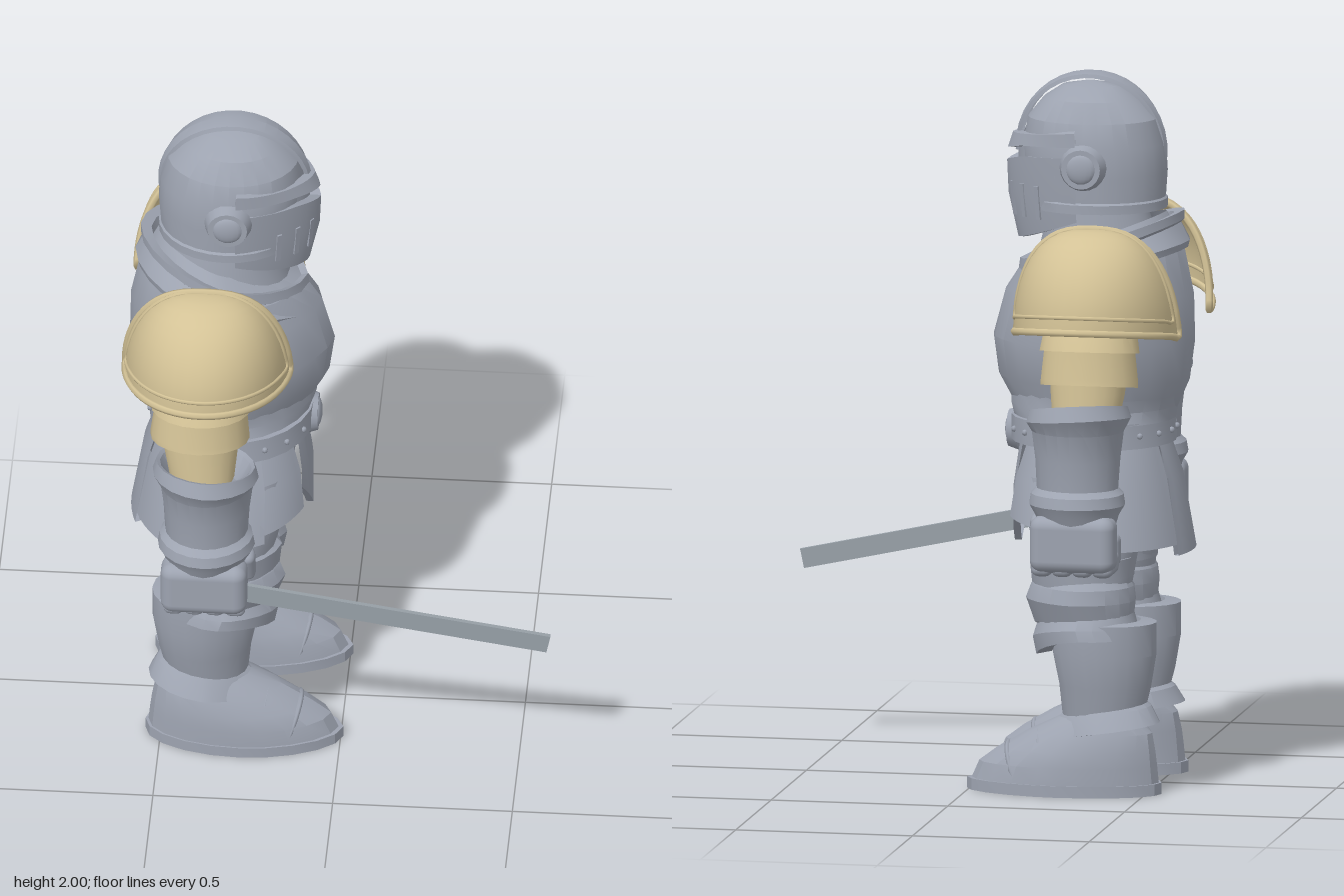
import * as THREE from 'three';
import { toCreasedNormals } from 'three/addons/utils/BufferGeometryUtils.js';
import { ParametricGeometry } from 'three/addons/geometries/ParametricGeometry.js';
import { RoundedBoxGeometry } from 'three/addons/geometries/RoundedBoxGeometry.js';

const paint = (name, color) => {
  const m = new THREE.MeshStandardMaterial({ color, side: THREE.DoubleSide });
  m.name = name;
  return m;
};

export function createModel() {
  const steel = paint('steel', 0x9da3b0), gold = paint('pale gold', 0xd3c296), bladeGrey = paint('blade grey', 0x99a2a9);

  // The figure is built facing +z, then turned to face +x
  const knight = new THREE.Group();
  knight.name = 'knight';
  knight.rotation.y = Math.PI / 2;

  const add = (name, geo, mat, pos = [0, 0, 0]) => {
    const m = new THREE.Mesh(geo, mat);
    m.name = name;
    m.position.set(...pos);
    knight.add(m);
    return m;
  };
  const surface = (name, mat, fn, nu, nv) =>
    add(name, toCreasedNormals(new ParametricGeometry(fn, nu, nv), 0.4), mat);

  // Skin over rings listed top to bottom: [y, halfWidth, zFront, zBack, tilt, centreX, dip, sideTilt]
  // q below 2 makes the front (qb: the back) pointed; t0..t1 limits the arc
  const loft = (name, mat, rings, { q = 2, qb = 2, seg = 24, t0 = 0, t1 = Math.PI * 2, k = 1, s = 1 } = {}) =>
    surface(name, mat, (u, v, out) => {
      const i = Math.min(rings.length - 1, Math.max(0, Math.round(v * (rings.length - 1))));
      const [y, rx, zf, zb, tilt = 0, cx = 0, dip = 0, sideTilt = 0] = rings[i];
      const t = t0 + (t1 - t0) * u, c = Math.cos(t), sn = Math.sin(t), e = sn >= 0 ? q : qb;
      const d = Math.sign(sn) * Math.pow(Math.max(0, 1 - Math.pow(Math.abs(c), e)), 1 / e);
      const drop = sn > 0 ? dip * Math.max(0, 1 - Math.abs(c) * k) : 0;
      out.set(cx * s + rx * c, y + tilt * d - drop + sideTilt * s * c, (zf + zb) / 2 + (zf - zb) / 2 * d);
    }, seg, rings.length - 1);

  // ---- Helmet
  loft('helmetDome', steel, [[1.972, 0, -.3, -.31], [1.958, .06, -.225, -.39], [1.925, .115, -.175, -.445],
    [1.87, .154, -.13, -.495], [1.8, .172, -.115, -.515], [1.72, .172, -.12, -.52], [1.65, .168, -.13, -.515],
    [1.645, .174, -.13, -.52], [1.62, .174, -.13, -.52], [1.62, .14, -.17, -.48]], { seg: 28 });
  surface('helmetCrest', steel, (u, v, out) => {
    const a = -.05 + v * 3.45, i = Math.round(u * 4), w = .012 + .03 * Math.max(0, Math.sin(a)), f = [.92, .97, 1, .97, .92][i];
    out.set([-1, -.9, 0, .9, 1][i] * w, 1.78 + .22 * f * Math.sin(a), -.307 + .215 * f * Math.cos(a));
  }, 4, 20);
  const arc = { q: 1.5, t0: .15, t1: Math.PI - .15, k: 2 };
  loft('visorBrow', steel, [[1.855, .165, -.11, -.5, -.03], [1.85, .178, -.085, -.53, -.03],
    [1.81, .18, -.07, -.55, -.02, 0, .015], [1.81, .165, -.1, -.52, -.02, 0, .015]], arc);
  loft('eyeSlitBacking', steel, [[1.83, .168, -.1, -.52, -.02], [1.74, .168, -.1, -.52, -.02]], arc);
  loft('visorFace', steel, [[1.78, .165, -.1, -.52, -.02, 0, .02], [1.78, .18, -.068, -.55, -.02, 0, .02],
    [1.68, .174, -.072, -.55, -.03], [1.6, .164, -.1, -.52, -.075], [1.6, .15, -.115, -.5, -.075]], arc);
  const faceZ = x => -.305 + .235 * Math.pow(1 - Math.pow(Math.abs(x) / .172, 1.5), 1 / 1.5);
  for (const s of [-1, 1]) {
    for (const x of [.04, .08, .118]) {
      const slot = add('breathSlot', new THREE.BoxGeometry(.015, .095, .009), steel, [s * x, 1.64, faceZ(x) - .008]);
      slot.rotation.set(.1, Math.atan(-(faceZ(s * x + .01) - faceZ(s * x - .01)) / .02), 0, 'YXZ');
    }
    const disc = add('visorPivot', new THREE.CylinderGeometry(.055, .068, .04, 20), steel, [s * .178, 1.75, -.315]);
    disc.rotation.z = -s * Math.PI / 2;
    add('visorPivotBoss', new THREE.SphereGeometry(.042, 16, 10), steel, [s * .195, 1.75, -.315]).scale.x = .35;
  }

  // ---- Neck and torso
  loft('neck', steel, [[1.66, .12, -.18, -.45], [1.54, .135, -.17, -.49], [1.42, .15, -.14, -.52]]);
  loft('collar', steel, [[1.45, .15, -.15, -.53, -.08], [1.53, .178, -.135, -.54, -.075], [1.54, .202, -.105, -.57, -.075],
    [1.51, .205, -.1, -.57, -.08], [1.5, .195, -.11, -.56, -.08], [1.475, .236, -.075, -.585, -.055, 0, .065],
    [1.455, .232, -.085, -.58, -.055, 0, .065]], { q: 1.6, qb: 1.8 });
  loft('breastplate', steel, [[1.55, .14, -.17, -.52, -.06], [1.48, .22, -.11, -.57, -.03], [1.38, .248, -.065, -.597],
    [1.25, .255, -.03, -.6], [1.14, .236, -.045, -.585], [1.06, .205, -.09, -.55], [1, .2, -.12, -.52]], { q: 1.6, qb: 1.65, seg: 28 });
  loft('waistFlange', steel, [[1.1, .218, -.085, -.56, 0, 0, -.03], [1.065, .212, -.08, -.55], [1.03, .226, -.09, -.545]], { q: 1.8 });
  loft('belt', steel, [[1.035, .2, -.1, -.52], [1.035, .23, -.085, -.54], [.965, .236, -.085, -.545], [.965, .2, -.1, -.52]]);
  for (let i = 0; i < 20; i++) {
    const a = (i + .5) / 20 * Math.PI * 2;
    add('beltRivet', new THREE.SphereGeometry(.009, 6, 4), steel, [.234 * Math.cos(a), 1, -.314 + .23 * Math.sin(a)]);
  }
  const buckle = add('buckle', new THREE.CylinderGeometry(.052, .062, .03, 20), steel, [0, .985, -.09]);
  buckle.rotation.x = Math.PI / 2;
  add('buckleBoss', new THREE.SphereGeometry(.042, 16, 10), steel, [0, .985, -.079]).scale.z = .35;

  // ---- Hips and skirt plates
  loft('hips', steel, [[.98, .19, -.14, -.5], [.86, .215, -.14, -.5], [.76, .21, -.15, -.49], [.68, .1, -.2, -.46], [.66, 0, -.3, -.35]]);
  const plate = (name, t0, t1, low, grow = 0, dip = 0, k = 1) => loft(name, steel, [
    [.975, .2 + grow, -.125 + grow, -.52 - grow], [.87, .255 + grow, -.09 + grow, -.555 - grow],
    [low, .312 + grow, -.075 + grow, -.59 - grow, 0, 0, dip], [low, .294 + grow, -.09 + grow, -.575 - grow, 0, 0, dip],
    [.87, .237 + grow, -.105 + grow, -.54 - grow]], { t0, t1, seg: 8, k });
  for (const s of [-1, 1]) {
    const side = (name, a, b, ...rest) => s > 0 ? plate(name, a, b, ...rest) : plate(name, Math.PI - b, Math.PI - a, ...rest);
    side('hipPlate', -.38, .5, .725, .006);
    side('frontSkirtPlate', .46, 1.08, .745, 0, -.03);
    side('backSkirtPlate', -1.2, -.34, .69);
  }
  plate('backCentrePlate', -1.95, -1.19, .66, .006);
  loft('centreSkirtPlate', steel, [[.975, .2, -.11, -.52], [.85, .27, -.09, -.55, 0, 0, .03], [.8, .28, -.09, -.55, 0, 0, .13],
    [.8, .26, -.11, -.53, 0, 0, .13]], { t0: 1.18, t1: Math.PI - 1.18, seg: 8, k: 2.6, q: 1.8 });

  for (const s of [-1, 1]) {
    const limb = (name, mat, rings, o = {}) => loft(name, mat, rings, { seg: 20, s, ...o });
    const ridge = { q: 1.55 };

    // ---- Leg
    limb('thigh', steel, [[.88, .12, -.15, -.48, 0, .13], [.78, .135, -.15, -.48, 0, .145], [.68, .134, -.175, -.47, 0, .153], [.56, .11, -.2, -.45, 0, .165]]);
    limb('upperKneePlate', steel, [[.665, .124, -.185, -.45, 0, .16], [.655, .14, -.165, -.465, -.01, .165],
      [.6, .136, -.175, -.46, -.01, .165, .04], [.605, .11, -.2, -.44, 0, .165, .04]], ridge);
    limb('kneeCop', steel, [[.615, .105, -.2, -.44, 0, .165], [.58, .132, -.17, -.46, 0, .167], [.54, .14, -.155, -.465, 0, .168],
      [.49, .122, -.18, -.46, 0, .168, .02], [.48, .1, -.2, -.44, 0, .168, .02]], ridge);
    limb('lowerKneePlate', steel, [[.51, .112, -.2, -.46, 0, .17], [.47, .138, -.175, -.47, 0, .172, .04],
      [.44, .143, -.185, -.48, 0, .172, .06], [.45, .11, -.23, -.47, 0, .172, .06]], ridge);
    limb('shinGuard', steel, [[.485, .1, -.25, -.48, 0, .172], [.48, .116, -.235, -.525, 0, .174], [.39, .117, -.232, -.525, 0, .174],
      [.3, .104, -.25, -.51, 0, .172], [.2, .086, -.26, -.485, 0, .168]], { q: 1.8 });
    limb('ankleCuff', steel, [[.24, .088, -.262, -.49, -.02, .168], [.225, .1, -.245, -.51, -.02, .17],
      [.18, .12, -.225, -.535, -.02, .18, .02], [.175, .09, -.25, -.5, -.02, .18, .02]], ridge);
    limb('sabaton', steel, [[.21, .08, -.25, -.48, 0, .175], [.17, .096, -.165, -.515, 0, .182], [.12, .11, -.08, -.525, 0, .187],
      [.08, .116, -.027, -.53, 0, .188], [.03, .118, -.005, -.535, 0, .188]], { q: 1.75 });
    limb('sole', steel, [[.032, .11, -.02, -.53, 0, .188], [.032, .122, .008, -.543, 0, .188], [0, .122, .008, -.543, 0, .188], [0, 0, -.26, -.27, 0, .188]], { q: 1.75 });
    for (const [z, w, h] of [[-.11, .088, .133], [-.2, .106, .175]]) {
      const pts = [];
      for (let i = 0; i <= 10; i++) {
        const a = i / 10 * Math.PI;
        pts.push(new THREE.Vector3(s * .188 + w * Math.cos(a), .03 + (h - .03) * Math.sin(a), z - .035 * (1 - Math.sin(a))));
      }
      add('sabatonBand', new THREE.TubeGeometry(new THREE.CatmullRomCurve3(pts), 16, .008, 6), steel);
    }

    // ---- Shoulder shell with a thin rolled rim and an inset bead
    const shell = (a, e, out = new THREE.Vector3()) => {
      const ce = Math.max(0, Math.cos(e)), ca = Math.cos(a), inner = .22 + .065 * Math.sin(e);
      return out.set(s * (inner + (.517 - inner) * Math.pow(ce, 1.1) * ca), 1.295 + .305 * Math.sin(e) + .05 * ca * ce,
        -.368 + .228 * Math.pow(ce, .75) * Math.sin(a));
    };
    const H = Math.PI / 2;
    surface('shoulderShell', gold, (u, v, out) => shell(s * (H - u * Math.PI), H * (1 - v), out), 18, 10);
    const edge = (name, inset, low, r) => {
      const pts = [], A = H - inset;
      for (let i = 0; i < 14; i++) pts.push(shell(-A + i / 14 * A * 2, low));
      for (let i = 0; i < 8; i++) pts.push(shell(A, low + i / 8 * (H - low)));
      for (let i = 0; i < 8; i++) pts.push(shell(-A, H - i / 8 * (H - low)));
      add(name, new THREE.TubeGeometry(new THREE.CatmullRomCurve3(pts, true), 64, r, 6, true), gold);
    };
    edge('shoulderRim', 0, 0, .011);
    edge('shoulderBead', .16, .14, .006);

    // ---- Arm
    limb('upperArmPlate', gold, [[1.45, .08, -.29, -.46, 0, .33], [1.36, .12, -.25, -.5, 0, .35], [1.27, .133, -.235, -.515, 0, .37, 0, .02], [1.275, .11, -.26, -.49, 0, .37, 0, .02]]);
    limb('lowerArmPlate', gold, [[1.3, .115, -.25, -.5, 0, .37], [1.19, .115, -.24, -.515, 0, .383, 0, .02], [1.175, .118, -.24, -.515, 0, .383, 0, .02], [1.18, .09, -.27, -.48, 0, .383, 0, .02]]);
    limb('sleeve', gold, [[1.22, .092, -.265, -.485, 0, .385], [1.16, .09, -.27, -.48, 0, .392], [1.06, .08, -.28, -.46, 0, .41]]);
    limb('gauntletCuff', steel, [[1.04, .08, -.27, -.45, 0, .43], [1.115, .122, -.23, -.485, -.01, .435, 0, .025], [1.122, .135, -.22, -.495, -.01, .436, 0, .025],
      [1.09, .15, -.21, -.505, -.01, .438, 0, .015], [1.06, .126, -.225, -.485, 0, .438], [.98, .113, -.235, -.475, 0, .438], [.9, .104, -.24, -.47, 0, .442],
      [.885, .122, -.225, -.485, 0, .446], [.855, .128, -.22, -.49, 0, .447], [.83, .112, -.235, -.475, 0, .45], [.78, .085, -.26, -.46, 0, .458]], { q: 1.85 });
    add('handBack', new RoundedBoxGeometry(.1, .16, .24, 3, .035), steel, [s * .505, .75, -.357]);
    for (let i = 0; i < 4; i++) {
      add('knuckle', new RoundedBoxGeometry(.13, .066, .058, 2, .02), steel, [s * .475, .692, -.27 - i * .057]);
      add('fingertip', new RoundedBoxGeometry(.065, .09, .056, 2, .02), steel, [s * .405, .72, -.27 - i * .057]);
    }
    add('palm', new RoundedBoxGeometry(.1, .12, .2, 2, .03), steel, [s * .44, .77, -.36]);
    add('thumb', new RoundedBoxGeometry(.055, .115, .06, 2, .022), steel, [s * .42, .765, -.25]).rotation.z = -s * .35;
  }

  // ---- Sword held in the right hand
  const from = new THREE.Vector3(-.474, .722, -.36), to = new THREE.Vector3(-.412, .525, .594);
  const dir = to.clone().sub(from);
  const blade = add('swordBlade', new THREE.BoxGeometry(.013, .055, dir.length()), bladeGrey);
  blade.position.copy(from).addScaledVector(dir, .5);
  blade.rotation.set(Math.atan2(-dir.y, Math.hypot(dir.x, dir.z)), Math.atan2(dir.x, dir.z), 0, 'YXZ');

  const root = new THREE.Group();
  root.name = 'armouredKnight';
  root.add(knight);
  return root;
}
